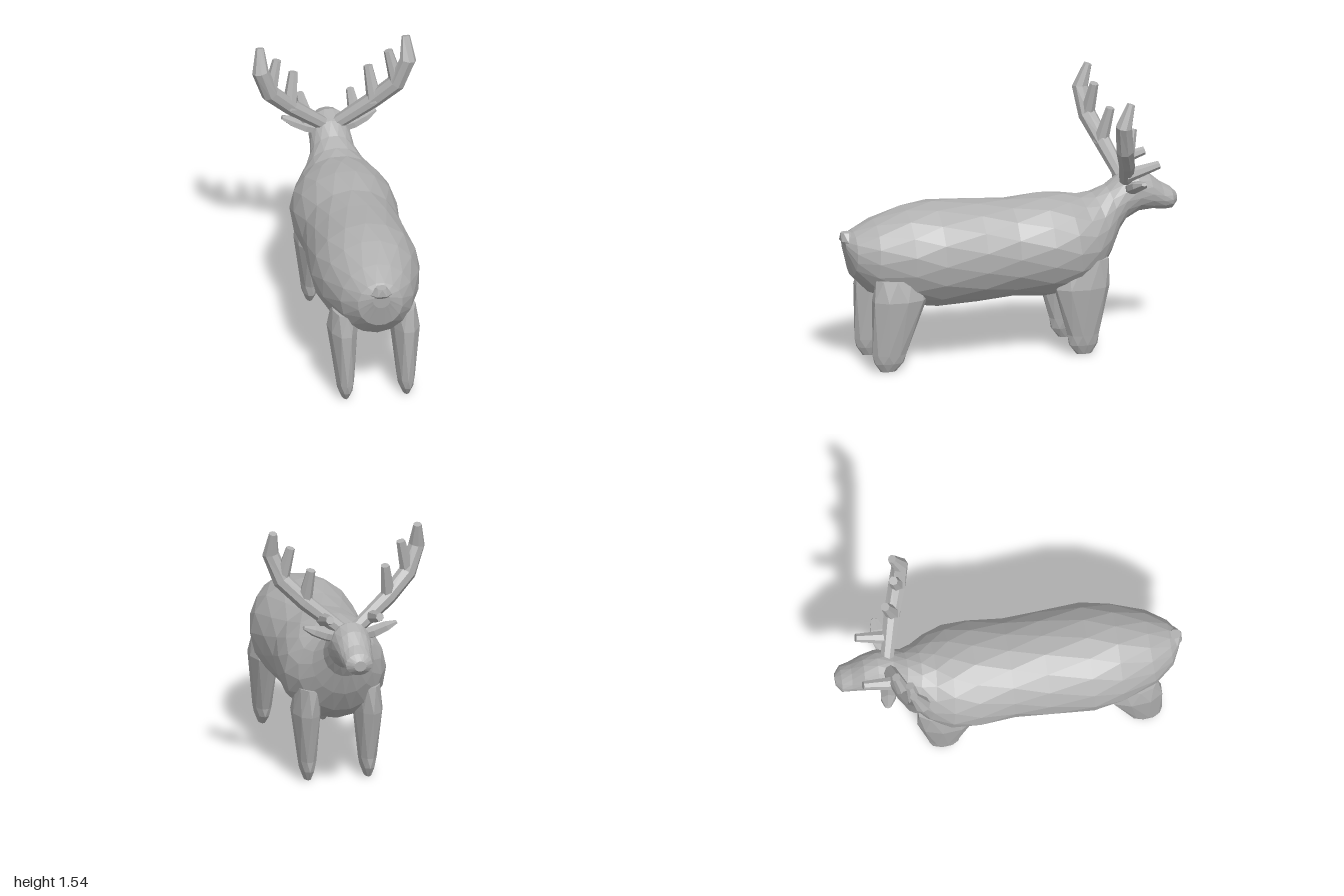
import * as THREE from 'three';

const V = (x, y, z) => new THREE.Vector3(x, y, z);

// Closed skin over rings { c, u, v }: centre and two half-axes, with u x v pointing along the loft.
// Every other ring is turned half a step so the facets interlock.
function loft(rings, n, stagger = true) {
  const pos = [], index = [];
  rings.forEach(({ c, u, v }, r) => {
    for (let i = 0; i < n; i++) {
      const a = (i + (stagger && r % 2 ? 0.5 : 0)) / n * Math.PI * 2;
      const p = c.clone().addScaledVector(u, Math.cos(a)).addScaledVector(v, Math.sin(a));
      pos.push(p.x, p.y, p.z);
    }
  });
  for (let r = 0; r < rings.length - 1; r++) {
    for (let i = 0; i < n; i++) {
      const j = (i + 1) % n, a = r * n, b = a + n;
      if (stagger && r % 2) index.push(a + i, b + j, b + i, a + i, a + j, b + j);
      else index.push(a + i, a + j, b + i, a + j, b + j, b + i);
    }
  }
  // end caps
  const last = (rings.length - 1) * n, c0 = rings.length * n;
  pos.push(...rings[0].c.toArray(), ...rings[rings.length - 1].c.toArray());
  for (let i = 0; i < n; i++) {
    const j = (i + 1) % n;
    index.push(c0, j, i, c0 + 1, last + i, last + j);
  }
  const g = new THREE.BufferGeometry();
  g.setAttribute('position', new THREE.Float32BufferAttribute(pos, 3));
  g.setIndex(index);
  g.computeVertexNormals();
  return g;
}

// Tapered rod along a path; each point is [x, y, z, radius].
function rod(points, side, n = 7) {
  const p = points.map(q => V(q[0] * side, q[1], q[2]));
  return loft(p.map((c, i) => {
    const t = p[Math.min(i + 1, p.length - 1)].clone().sub(p[Math.max(i - 1, 0)]).normalize();
    const u = V(1, 0, 0).cross(t).normalize();
    const v = t.clone().cross(u);
    return { c, u: u.multiplyScalar(points[i][3]), v: v.multiplyScalar(points[i][3]) };
  }), n, false);
}

// Body, neck and head: [top z, top y, bottom z, bottom y, half width]
const BODY = [
  [0.975, 0.76, 0.965, 0.66, 0.05], [0.92, 0.80, 0.93, 0.53, 0.13], [0.80, 0.855, 0.83, 0.43, 0.21],
  [0.62, 0.91, 0.62, 0.345, 0.28], [0.45, 0.93, 0.45, 0.32, 0.31], [0.20, 0.915, 0.20, 0.325, 0.297],
  [0, 0.90, 0, 0.34, 0.283], [-0.20, 0.915, -0.20, 0.325, 0.303], [-0.33, 0.905, -0.38, 0.345, 0.295],
  [-0.42, 0.89, -0.52, 0.43, 0.245], [-0.50, 0.90, -0.60, 0.55, 0.18], [-0.58, 0.935, -0.65, 0.67, 0.13],
  [-0.66, 0.99, -0.69, 0.73, 0.12], [-0.75, 1.02, -0.77, 0.77, 0.115], [-0.83, 0.99, -0.85, 0.775, 0.10],
  [-0.90, 0.93, -0.92, 0.765, 0.085], [-0.96, 0.895, -0.965, 0.77, 0.078], [-0.995, 0.86, -0.995, 0.80, 0.035],
];

// Legs: [y, centre x, half width, centre z, half depth]
const FRONT_LEG = [
  [0.005, 0.175, 0.02, -0.40, 0.045], [0.06, 0.175, 0.042, -0.395, 0.085], [0.12, 0.175, 0.052, -0.395, 0.093],
  [0.40, 0.18, 0.082, -0.385, 0.165], [0.56, 0.17, 0.07, -0.41, 0.14],
];
const BACK_LEG = [
  [0, 0.175, 0.02, 0.76, 0.045], [0.05, 0.175, 0.042, 0.755, 0.088], [0.10, 0.175, 0.052, 0.753, 0.10],
  [0.42, 0.18, 0.085, 0.695, 0.165], [0.54, 0.17, 0.07, 0.70, 0.13],
];

// Antler beam and tines: [x, y, z, radius]
const BEAM = [
  [0.04, 0.96, -0.69, 0.04], [0.24, 1.12, -0.635, 0.048], [0.365, 1.245, -0.585, 0.052],
  [0.425, 1.40, -0.56, 0.048], [0.42, 1.53, -0.605, 0.024],
];
const TINES = {
  browTine: [[0.14, 1.02, -0.66, 0.042], [0.145, 1.072, -0.855, 0.024]],
  middleTine: [[0.245, 1.11, -0.625, 0.045], [0.215, 1.32, -0.675, 0.026]],
  upperTine: [[0.37, 1.23, -0.58, 0.045], [0.32, 1.44, -0.612, 0.026]],
};

// Ear: [x, y, z, half thickness, half breadth]
const EAR = [
  [0.07, 0.92, -0.70, 0.03, 0.03], [0.14, 0.945, -0.71, 0.032, 0.05],
  [0.21, 0.975, -0.72, 0.028, 0.048], [0.27, 1.0, -0.73, 0.01, 0.018],
];

export function createModel() {
  const group = new THREE.Group();
  const grey = new THREE.MeshStandardMaterial({ color: 0xb0b0b0, flatShading: true });
  grey.name = 'plain grey';
  const add = (name, geometry, parent = group) => {
    const mesh = new THREE.Mesh(geometry, grey);
    mesh.name = name;
    parent.add(mesh);
    return mesh;
  };

  add('body', loft(BODY.map(([tz, ty, bz, by, w]) => ({
    c: V(0, (ty + by) / 2, (tz + bz) / 2),
    u: V(0, (ty - by) / 2, (tz - bz) / 2),
    v: V(w, 0, 0),
  })), 16));

  // stubby tail, turned up
  add('tail', loft([
    [0.70, 0.91, 0.075, 0.04], [0.745, 0.95, 0.062, 0.045], [0.79, 0.955, 0.03, 0.036],
  ].map(([y, z, w, d]) => ({ c: V(0, y, z), u: V(0, 0, d), v: V(w, 0, 0) })), 7));

  for (const [label, s] of [['left', 1], ['right', -1]]) {
    for (const [part, rings] of [['FrontLeg', FRONT_LEG], ['BackLeg', BACK_LEG]]) {
      add(label + part, loft(rings.map(([y, x, w, z, d]) => ({
        c: V(s * x, y, z), u: V(0, 0, d), v: V(w, 0, 0),
      })), 9));
    }

    // leaf-shaped ear, leaning outward and up
    add(label + 'Ear', loft(EAR.map(([x, y, z, t, b]) => ({
      c: V(s * x, y, z), u: V(-s * 0.4 * t, t, 0), v: V(0, 0, s * b),
    })), 6, false));

    const antler = new THREE.Group();
    antler.name = label + 'Antler';
    add('antlerBeam', rod(BEAM, s, 8), antler);
    for (const name in TINES) add(name, rod(TINES[name], s), antler);
    group.add(antler);
  }
  return group;
}
